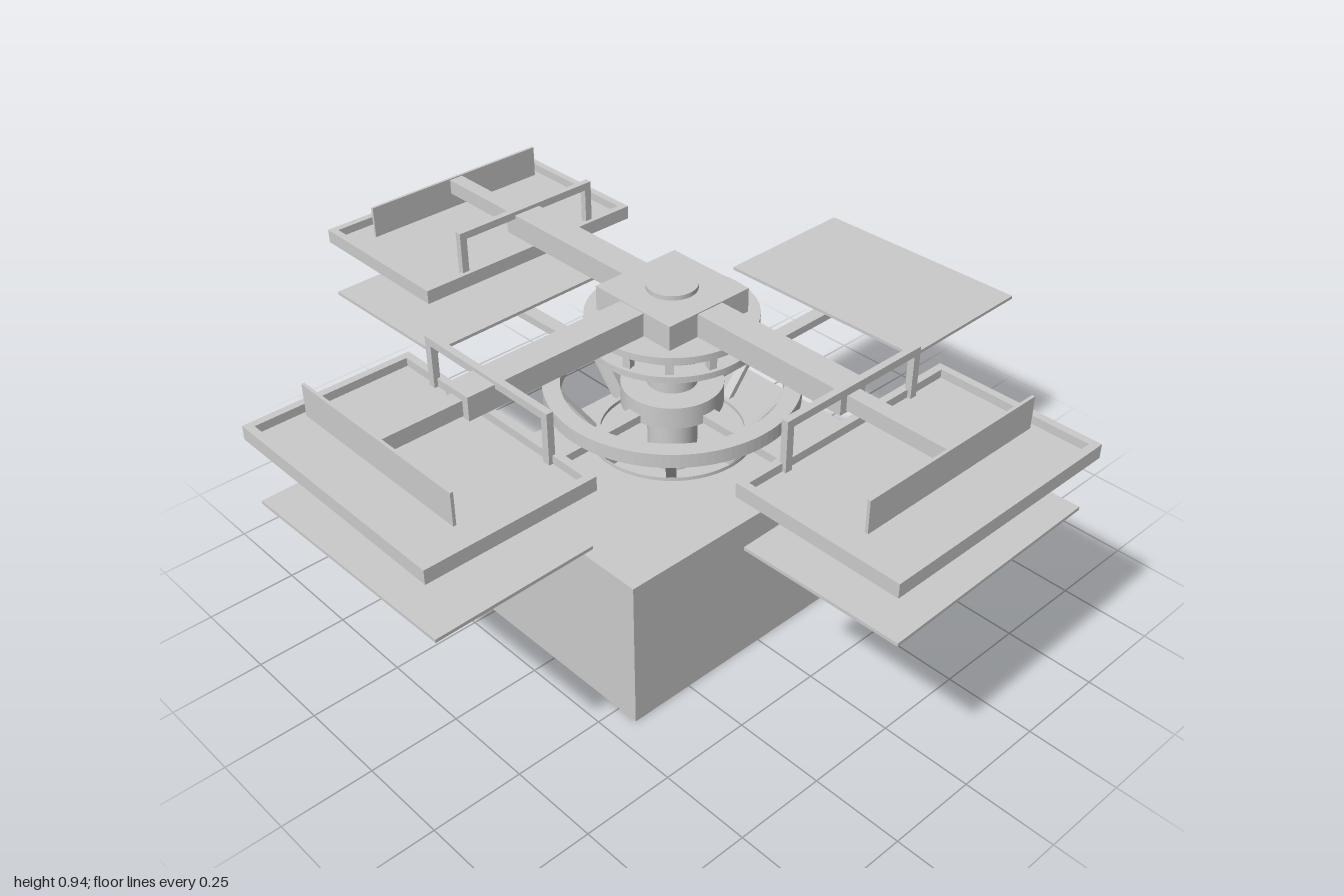
import * as THREE from 'three';

const material = new THREE.MeshStandardMaterial({ color: 0xcccccc, side: THREE.DoubleSide });

function add(parent, name, geometry, x = 0, y = 0, z = 0) {
  const mesh = new THREE.Mesh(geometry, material);
  mesh.name = name;
  mesh.position.set(x, y, z);
  parent.add(mesh);
  return mesh;
}

// Box given by its extents along each axis
function box(parent, name, x0, x1, y0, y1, z0, z1) {
  return add(parent, name, new THREE.BoxGeometry(x1 - x0, y1 - y0, z1 - z0),
    (x0 + x1) / 2, (y0 + y1) / 2, (z0 + z1) / 2);
}

function disc(parent, name, radius, y0, y1) {
  return add(parent, name, new THREE.CylinderGeometry(radius, radius, y1 - y0, 64), 0, (y0 + y1) / 2, 0);
}

// Flat ring with a rectangular section
function ring(parent, name, inner, outer, y0, y1) {
  const shape = new THREE.Shape().absarc(0, 0, outer, 0, Math.PI * 2);
  shape.holes.push(new THREE.Path().absarc(0, 0, inner, 0, Math.PI * 2, true));
  const geometry = new THREE.ExtrudeGeometry(shape, { depth: y1 - y0, bevelEnabled: false, curveSegments: 48 });
  return add(parent, name, geometry.rotateX(-Math.PI / 2), 0, y0, 0);
}

// Straight square bar between two points in the local x-y plane
function strut(parent, name, a, b, width, depth) {
  const mesh = add(parent, name, new THREE.BoxGeometry(width, a.distanceTo(b), depth));
  mesh.position.copy(a).add(b).multiplyScalar(0.5);
  mesh.quaternion.setFromUnitVectors(new THREE.Vector3(0, 1, 0), b.clone().sub(a).normalize());
  return mesh;
}

// Upper station: telescoping arm, rimmed tray, bracket and pusher, along +x
function upperStation(trayStart, armEnd, pusherX) {
  const g = new THREE.Group();
  g.name = 'upperStation';
  const end = trayStart + 0.45, half = 0.34, rim = 0.02;
  box(g, 'arm', 0.1, armEnd, 0.865, 0.927, -0.04, 0.04);
  box(g, 'armExtension', armEnd - 0.02, pusherX, 0.87, 0.91, -0.02, 0.02);
  box(g, 'pusherPlate', pusherX - 0.004, pusherX + 0.004, 0.828, 0.913, -0.272, 0.272);
  box(g, 'trayFloor', trayStart, end, 0.788, 0.803, -half, half);
  for (const s of [-1, 1]) {
    const z = s * (half - rim / 2);
    box(g, 'traySideRim', trayStart, end, 0.803, 0.825, z - rim / 2, z + rim / 2);
    const legZ = s * 0.208;
    box(g, 'bracketLeg', trayStart + 0.012, trayStart + 0.03, 0.803, 0.937, legZ - 0.01, legZ + 0.01);
  }
  for (const x of [trayStart, end - rim])
    box(g, 'trayEndRim', x, x + rim, 0.803, 0.825, rim - half, half - rim);
  box(g, 'bracketBar', trayStart + 0.012, trayStart + 0.03, 0.917, 0.937, -0.2, 0.2);
  return g;
}

export function createModel() {
  const model = new THREE.Group();
  model.name = 'rotaryPrintStation';

  // Base and column
  box(model, 'base', -0.432, 0.43, 0, 0.43, -0.333, 0.312);
  const turret = new THREE.Group();
  turret.name = 'turret';
  turret.position.set(-0.005, 0, -0.01);
  model.add(turret);
  disc(turret, 'column', 0.064, 0.43, 0.94);

  // Lower rotor: hub, rings, slanted struts, arms and flat paddles
  const lower = new THREE.Group();
  lower.name = 'lowerRotor';
  lower.rotation.y = 0.018;
  turret.add(lower);
  disc(lower, 'lowerHub', 0.13, 0.605, 0.665);
  ring(lower, 'upperRing', 0.28, 0.325, 0.63, 0.668);
  ring(lower, 'lowerRing', 0.185, 0.215, 0.509, 0.519);
  for (let i = 0; i < 8; i++) {
    const spoke = new THREE.Group();
    spoke.name = 'strutMount';
    spoke.rotation.y = i * Math.PI / 4;
    lower.add(spoke);
    strut(spoke, 'strut', new THREE.Vector3(0.2, 0.515, 0), new THREE.Vector3(0.3, 0.635, 0), 0.015, 0.025);
  }
  for (let i = 0; i < 4; i++) {
    const station = new THREE.Group();
    station.name = 'lowerStation';
    station.rotation.y = i * Math.PI / 2;
    lower.add(station);
    box(station, 'lowerArm', 0.1, 0.645, 0.606, 0.628, -0.02, 0.02);
    box(station, 'paddle', 0.557, 0.988, 0.628, 0.637, -0.323, 0.323);
  }

  // Upper rotor: hub, cap and the caged bearing under it
  box(turret, 'upperHub', -0.13, 0.13, 0.865, 0.93, -0.13, 0.13);
  disc(turret, 'cap', 0.064, 0.93, 0.942);
  disc(turret, 'cageTop', 0.215, 0.846, 0.865);
  ring(turret, 'cageBottom', 0.165, 0.215, 0.795, 0.812);
  for (let i = 0; i < 12; i++) {
    const post = new THREE.Group();
    post.name = 'cagePostMount';
    post.rotation.y = (i + 0.5) * Math.PI / 6;
    turret.add(post);
    box(post, 'cagePost', 0.185, 0.205, 0.81, 0.848, -0.01, 0.01);
  }

  // Three upper stations: right, front and back
  const stations = [
    [Math.PI, 0.54, 0.645, 0.862],
    [-Math.PI / 2, 0.558, 0.58, 0.862],
    [Math.PI / 2, 0.54, 0.588, 0.866],
  ];
  for (const [angle, ...sizes] of stations) {
    const station = upperStation(...sizes);
    station.rotation.y = angle;
    turret.add(station);
  }
  return model;
}
